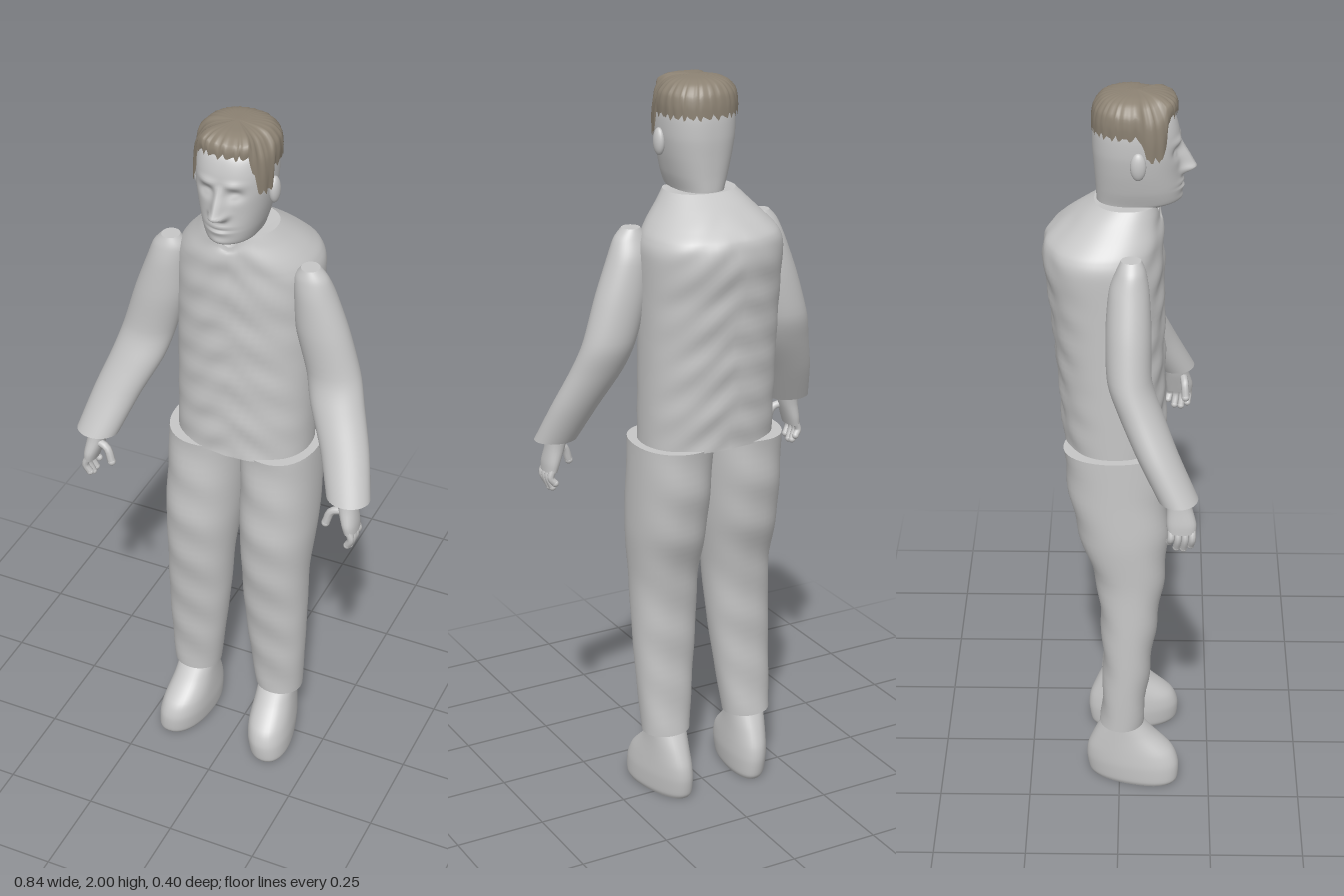
import * as THREE from 'three';

const gray = new THREE.MeshStandardMaterial({ color: 0xc6c6c6, side: THREE.DoubleSide });
gray.name = 'plain gray';
const brown = new THREE.MeshStandardMaterial({ color: 0x8c8273, side: THREE.DoubleSide });
brown.name = 'hair brown';

// Smooth interpolation through sections [y, centreX, halfWidth, frontZ, backZ]
function sample(sections, t) {
  const n = sections.length - 1, f = Math.min(t * n, n - 1e-6), i = Math.floor(f), u = f - i;
  const at = k => sections[Math.max(0, Math.min(n, k))];
  return sections[0].map((_, c) => {
    const [a, b, d, e] = [at(i - 1)[c], at(i)[c], at(i + 1)[c], at(i + 2)[c]];
    const m0 = (d - a) * 0.4, m1 = (e - b) * 0.4, u2 = u * u, u3 = u2 * u;
    return (2 * u3 - 3 * u2 + 1) * b + (u3 - 2 * u2 + u) * m0 + (3 * u2 - 2 * u3) * d + (u3 - u2) * m1;
  });
}

// Point on a rounded ring; power 2 is an ellipse, more is boxier
function ringPoint([y, cx, hw, zf, zb], a, power) {
  const s = Math.sin(a), c = Math.cos(a), e = 2 / power;
  return new THREE.Vector3(
    cx + hw * Math.sign(s) * Math.abs(s) ** e, y,
    (zf + zb) / 2 + (zf - zb) / 2 * Math.sign(c) * Math.abs(c) ** e);
}

// Closed surface from a grid of points, rows running upwards
function gridGeometry(point, rows, segs, capBottom = true, capTop = true) {
  const pos = [], index = [];
  const addRing = r => {
    for (let j = 0; j < segs; j++) pos.push(...point(r / rows, j / segs * Math.PI * 2).toArray());
  };
  for (let r = 0; r <= rows; r++) addRing(r);
  for (let r = 0; r < rows; r++) for (let j = 0; j < segs; j++) {
    const k = (j + 1) % segs, a = r * segs + j, b = r * segs + k;
    index.push(a, b, b + segs, a, b + segs, a + segs);
  }
  const cap = (r, top) => {
    const start = pos.length / 3, mid = [0, 0, 0];
    addRing(r);
    for (let j = 0; j < segs; j++) for (let c = 0; c < 3; c++) mid[c] += pos[(start + j) * 3 + c] / segs;
    pos.push(...mid);
    for (let j = 0; j < segs; j++) {
      const a = start + j, b = start + (j + 1) % segs;
      index.push(start + segs, top ? a : b, top ? b : a);
    }
  };
  if (capBottom) cap(0, false);
  if (capTop) cap(rows, true);
  const g = new THREE.BufferGeometry();
  g.setAttribute('position', new THREE.Float32BufferAttribute(pos, 3));
  g.setIndex(index);
  g.computeVertexNormals();
  return g;
}

function loft(name, sections, { power = 2.2, rows = 36, segs = 40, shape = p => p } = {}) {
  const mesh = new THREE.Mesh(gridGeometry(
    (t, a) => shape(ringPoint(sample(sections, t), a, power), a), rows, segs), gray);
  mesh.name = name;
  return mesh;
}

const bump = (d, w) => Math.exp(-(d * d) / (w * w));

// Nose, eye sockets, brows, lips and chin pressed into the front of the head
function shapeFace(p) {
  if (p.z < 0.07) return p;
  const { x, y } = p, ax = Math.abs(x);
  const rise = THREE.MathUtils.clamp((1.875 - y) / 0.075, 0, 1);
  const nose = y > 1.8 ? rise : bump(y - 1.8, 0.014);
  p.z += nose * 0.042 * bump(x, 0.01 + 0.009 * rise);
  p.z += 0.012 * bump(ax - 0.016, 0.008) * bump(y - 1.795, 0.01);
  p.z -= 0.014 * bump(ax - 0.036, 0.02) * bump(y - 1.85, 0.014);
  p.z += 0.006 * bump(ax - 0.036, 0.012) * bump(y - 1.847, 0.008);
  p.z += 0.006 * bump(ax - 0.035, 0.025) * bump(y - 1.878, 0.01);
  p.z += 0.011 * bump(x, 0.03) * bump(y - 1.756, 0.018);
  p.z -= 0.009 * bump(x, 0.03) * bump(y - 1.756, 0.004);
  p.z += 0.007 * bump(x, 0.025) * bump(y - 1.72, 0.012);
  return p;
}

const skull = [
  [1.62, 0, 0.06, 0.07, -0.05], [1.685, 0, 0.062, 0.085, -0.055], [1.703, 0, 0.06, 0.115, -0.058],
  [1.715, 0, 0.064, 0.147, -0.06], [1.75, 0, 0.076, 0.152, -0.062], [1.8, 0, 0.088, 0.15, -0.066],
  [1.85, 0, 0.096, 0.15, -0.07], [1.9, 0, 0.097, 0.146, -0.07], [1.94, 0, 0.09, 0.132, -0.064],
  [1.975, 0, 0.062, 0.1, -0.035], [1.985, 0, 0.02, 0.06, 0.01],
];

// Hair cap: a ragged hem that is high on the brow and low at the temples
function makeHair() {
  const dome = [
    [0, 0, 0.104, 0.15, -0.073], [0.3, 0, 0.105, 0.148, -0.072], [0.6, 0, 0.1, 0.14, -0.066],
    [0.85, 0, 0.08, 0.118, -0.048], [0.96, 0, 0.052, 0.093, -0.02], [1, 0, 0.004, 0.045, 0.035],
  ];
  const point = (t, a) => {
    const b = Math.abs(a > Math.PI ? a - 2 * Math.PI : a);
    const side = THREE.MathUtils.smoothstep(b, 0.65, 1.0) * (1 - THREE.MathUtils.smoothstep(b, 1.35, 1.5));
    const back = THREE.MathUtils.smoothstep(b, 1.35, 1.5);
    const hem = 1.95 - 0.1 * side - 0.043 * back + 0.006 * Math.sin(a * 31) + 0.004 * Math.sin(a * 47);
    const s = sample(dome, t);
    // widen brow hem less, since it starts higher on the dome
    const tuck = 1 - 0.07 * (1 - side - back) * (1 - t);
    const p = ringPoint([hem + (2 - hem) * s[0], 0, s[2], s[3], s[4]], a, 2.3);
    p.x *= tuck;
    p.z = 0.04 + (p.z - 0.04) * tuck;
    const strand = 1 + 0.012 * Math.sin(a * 24) * (1 - t);
    p.x *= strand;
    return p;
  };
  const mesh = new THREE.Mesh(gridGeometry(point, 20, 128, false, true), brown);
  mesh.name = 'hair';
  return mesh;
}

function ellipsoid(name, at, size) {
  const mesh = new THREE.Mesh(new THREE.SphereGeometry(1, 20, 14), gray);
  mesh.name = name;
  mesh.position.set(...at);
  mesh.scale.set(...size);
  return mesh;
}

function finger(name, points, radius) {
  const g = new THREE.Group();
  g.name = name;
  const v = points.map(p => new THREE.Vector3(...p));
  g.add(new THREE.Mesh(new THREE.TubeGeometry(new THREE.CatmullRomCurve3(v), 8, radius, 8), gray));
  g.add(ellipsoid(name + 'Tip', points[points.length - 1], [radius, radius, radius]));
  return g;
}

function makeArm(s, side) {
  const arm = new THREE.Group();
  arm.name = side + 'Arm';
  arm.add(loft(side + 'Sleeve', [
    [1.045, 0.36, 0.058, 0.202, 0.1], [1.15, 0.325, 0.065, 0.152, 0.045], [1.25, 0.284, 0.072, 0.11, -0.002],
    [1.33, 0.26, 0.072, 0.083, -0.03], [1.45, 0.226, 0.07, 0.081, -0.034], [1.55, 0.204, 0.055, 0.075, -0.026],
    [1.6, 0.195, 0.044, 0.066, -0.008], [1.627, 0.192, 0.024, 0.055, 0.004],
  ].map(r => [r[0], r[1] * s, ...r.slice(2)]), { power: 2 }));
  // palm, four fingers and thumb
  arm.add(loft(side + 'Palm', [
    [0.955, 0.377, 0.017, 0.197, 0.125], [0.98, 0.372, 0.021, 0.198, 0.122],
    [1.02, 0.362, 0.025, 0.187, 0.122], [1.06, 0.355, 0.028, 0.18, 0.118],
  ].map(r => [r[0], r[1] * s, ...r.slice(2)]), { rows: 12, segs: 20 }));
  [0.188, 0.17, 0.152, 0.134].forEach((z, i) => {
    const end = [0.915, 0.905, 0.908, 0.925][i];
    arm.add(finger(side + 'Finger' + (i + 1),
      [[0.376 * s, 0.965, z], [0.385 * s, 0.94, z], [0.374 * s, end, z - 0.004]], 0.0095));
  });
  arm.add(finger(side + 'Thumb',
    [[0.36 * s, 1.015, 0.17], [0.325 * s, 1.005, 0.175], [0.31 * s, 0.965, 0.178]], 0.011));
  return arm;
}

function makeLeg(s, side, shift) {
  const leg = new THREE.Group();
  leg.name = side + 'Leg';
  // the lower leg drifts sideways, so the stance is slightly uneven
  const drift = r => [r[0], r[1] * s + shift * Math.max(0, 1 - r[0] / 0.9), ...r.slice(2)];
  leg.add(loft(side + 'Trouser', [
    [0.19, 0.128, 0.067, 0.065, -0.052], [0.35, 0.122, 0.08, 0.082, -0.045], [0.5, 0.116, 0.089, 0.1, -0.05],
    [0.65, 0.112, 0.093, 0.12, -0.065], [0.79, 0.11, 0.103, 0.13, -0.108],
    [0.92, 0.107, 0.104, 0.125, -0.135], [1.05, 0.104, 0.104, 0.12, -0.147],
  ].map(drift), { shape: (p, a) => {
    p.z += 0.003 * Math.sin(p.y * 42 + 2 * a) * Math.cos(a);
    return p;
  } }));
  // shoe: wider and turned out at the toe
  const cx = 0.125 * s + shift * 0.9;
  const shoe = loft(side + 'Shoe', [
    [0, 0, 0.05, 0.155, -0.075], [0.015, 0, 0.056, 0.164, -0.085], [0.06, 0, 0.059, 0.165, -0.092],
    [0.1, 0, 0.057, 0.148, -0.088], [0.15, 0, 0.053, 0.095, -0.068], [0.2, 0, 0.05, 0.052, -0.043],
  ], { power: 2.2, rows: 24, shape: p => {
    p.x = cx + p.x * (1 + p.z * 1.2) + s * 0.15 * p.z * (1 - p.y / 0.22) + shift * p.z;
    return p;
  } });
  leg.add(shoe);
  return leg;
}

export function createModel() {
  const model = new THREE.Group();
  model.name = 'standingFigure';

  // vest-like torso with soft creases and a notched collar
  model.add(loft('torso', [
    [1.045, 0, 0.185, 0.124, -0.15], [1.15, 0, 0.186, 0.12, -0.158], [1.3, 0, 0.187, 0.116, -0.169],
    [1.45, 0, 0.189, 0.114, -0.184], [1.57, 0, 0.191, 0.112, -0.199], [1.61, 0, 0.18, 0.11, -0.191],
    [1.64, 0, 0.158, 0.108, -0.16], [1.68, 0, 0.122, 0.103, -0.112], [1.712, 0, 0.095, 0.098, -0.066],
  ], { power: 2.25, rows: 64, segs: 64, shape: (p, a) => {
    const front = Math.max(0, Math.cos(a)), high = THREE.MathUtils.smoothstep(p.y, 1.65, 1.71);
    const crease = Math.sin(p.y * 60 + Math.abs(p.x) * 35) * Math.sin(p.x * 28 + p.y * 11);
    p.z += 0.004 * crease * Math.cos(a) * (1 - high);
    p.y -= 0.04 * high * front * bump(p.x, 0.035);
    return p;
  } }));

  const head = new THREE.Group();
  head.name = 'head';
  head.add(loft('face', skull, { power: 2.3, rows: 100, segs: 128, shape: shapeFace }));
  head.add(makeHair());
  for (const [s, side] of [[1, 'left'], [-1, 'right']]) {
    head.add(ellipsoid(side + 'Ear', [0.1 * s, 1.835, 0.045], [0.014, 0.036, 0.02]));
    model.add(makeArm(s, side));
    model.add(makeLeg(s, side, -0.02));
  }
  model.add(head);
  return model;
}
